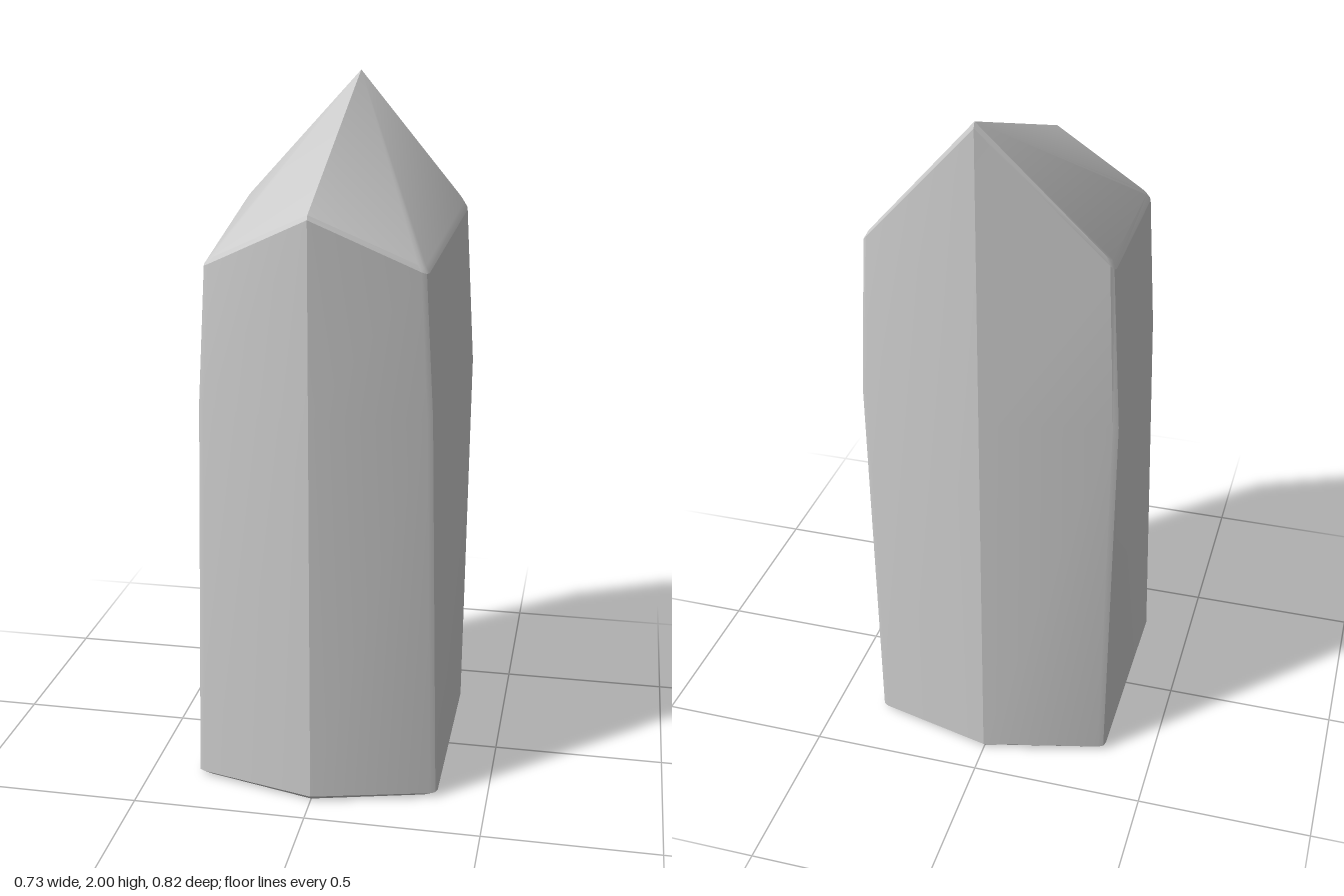
import * as THREE from 'three';
import { toCreasedNormals } from 'three/addons/utils/BufferGeometryUtils.js';

const V = (x, y, z) => new THREE.Vector3(x, y, z);

// Six-sided ring, mirrored in x, with the four side corners softened to three points.
function makeRing(front, sideFront, sideBack, back) {
  const mirror = ([x, y, z]) => V(-x, y, z);
  const corners = [V(...front), V(...sideFront), V(...sideBack), V(...back), mirror(sideBack), mirror(sideFront)];
  const ring = [];
  corners.forEach((c, i) => {
    if (i % 3 === 0) { ring.push(c); return; }
    const toward = (j) => c.clone().add(corners[j % 6].clone().sub(c).setLength(0.02));
    const a = toward(i + 5), b = toward(i + 1);
    const mid = a.clone().add(b).multiplyScalar(0.25).addScaledVector(c, 0.5);
    ring.push(a, mid, b);
  });
  return ring;
}

// Skin between the rings, with a fan of roof facets from the rear peak.
function skin(rings) {
  const n = rings[0].length, index = [], peak = (rings.length - 1) * n + 7;
  for (let j = 0; j < rings.length - 1; j++) {
    for (let i = 0; i < n; i++) {
      const k = (i + 1) % n, a = j * n + i, b = j * n + k;
      index.push(a, b, b + n, a, b + n, a + n);
    }
  }
  const top = (rings.length - 1) * n;
  for (let i = 0; i < n; i++) {
    const a = top + i, b = top + (i + 1) % n;
    if (a !== peak && b !== peak) index.push(peak, a, b);
  }
  const geometry = new THREE.BufferGeometry().setFromPoints(rings.flat());
  geometry.setIndex(index);
  return toCreasedNormals(geometry, 0.38);
}

export function createModel() {
  const group = new THREE.Group();
  group.name = 'crystal';
  const rings = [
    // turned-in lip around the open base
    makeRing([0, 0, 0.395], [0.338, 0, 0.307], [0.342, 0, -0.307], [0, 0, -0.395]),
    makeRing([0, 0.015, 0.41], [0.357, 0.015, 0.322], [0.357, 0.015, -0.322], [0, 0.015, -0.41]),
    // slight bulge where the walls bend
    makeRing([0, 1.15, 0.41], [0.328, 1.15, 0.322], [0.368, 1.15, -0.322], [0, 1.15, -0.41]),
    // top of the walls
    makeRing([0, 1.69, 0.41], [0.304, 1.54, 0.322], [0.34, 1.61, -0.322], [0, 1.985, -0.41]),
    // bevelled edge of the slanted roof
    makeRing([0, 1.702, 0.402], [0.293, 1.558, 0.315], [0.328, 1.632, -0.315], [0, 2, -0.402]),
  ];
  const material = new THREE.MeshStandardMaterial({ color: 0xcccccc, side: THREE.DoubleSide });
  const shell = new THREE.Mesh(skin(rings), material);
  shell.name = 'crystalShell';
  group.add(shell);
  return group;
}
